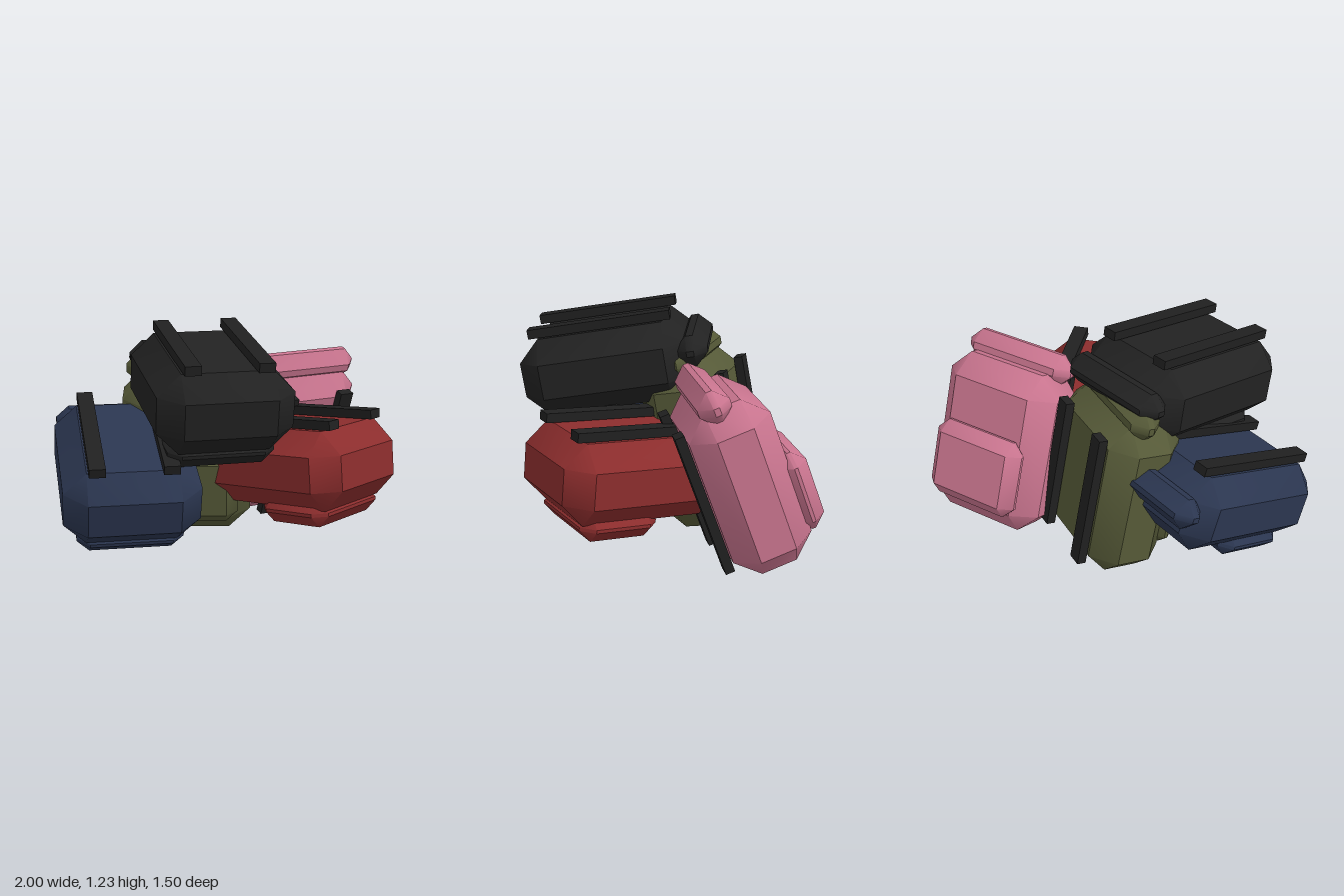
import * as THREE from 'three';
import { ConvexGeometry } from 'three/addons/geometries/ConvexGeometry.js';
import { toCreasedNormals } from 'three/addons/utils/BufferGeometryUtils.js';

const material = (name, color) => {
  const m = new THREE.MeshStandardMaterial({ color });
  m.name = name;
  return m;
};

// Box with every edge cut at 45 degrees: flat panels, softly shaded chamfers
function chamferBox(w, h, d, c) {
  const half = [w / 2, h / 2, d / 2];
  const points = [];
  for (const sx of [-1, 1]) for (const sy of [-1, 1]) for (const sz of [-1, 1]) {
    for (let axis = 0; axis < 3; axis++) {
      const p = half.map((v, i) => (i === axis ? v : v - c));
      points.push(new THREE.Vector3(p[0] * sx, p[1] * sy, p[2] * sz));
    }
  }
  return toCreasedNormals(new ConvexGeometry(points), 0.7);
}

// One backpack shape shared by the whole pile: +y is its top, +z its pocket side
const bodyGeo = chamferBox(0.72, 0.92, 0.43, 0.12);
const pocketGeo = chamferBox(0.57, 0.44, 0.15, 0.066);
const rollGeo = chamferBox(0.68, 0.18, 0.17, 0.07);
const strapGeo = new THREE.BoxGeometry(0.085, 0.78, 0.05);

function part(name, geometry, mat, x, y, z) {
  const mesh = new THREE.Mesh(geometry, mat);
  mesh.name = name;
  mesh.position.set(x, y, z);
  return mesh;
}

function backpack(name, cloth, strapMat) {
  const bag = new THREE.Group();
  bag.name = name;
  bag.add(
    part('body', bodyGeo, cloth, 0, 0, 0),
    part('frontPocket', pocketGeo, cloth, 0, -0.126, 0.236),
    part('topRoll', rollGeo, cloth, 0, 0.478, -0.04)
  );
  for (const side of [-1, 1]) {
    bag.add(part(side > 0 ? 'leftStrap' : 'rightStrap', strapGeo, strapMat, side * 0.19, 0, -0.245));
  }
  return bag;
}

// Turn a bag so its top points along up and its pocket roughly along front
function place(bag, position, up, front) {
  const u = new THREE.Vector3(...up).normalize();
  const x = u.clone().cross(new THREE.Vector3(...front)).normalize();
  const f = x.clone().cross(u);
  bag.quaternion.setFromRotationMatrix(new THREE.Matrix4().makeBasis(x, u, f));
  bag.position.set(...position);
  return bag;
}

export function createModel() {
  const model = new THREE.Group();
  model.name = 'backpackPile';

  const black = material('black cloth', 0x222222);
  const strap = material('strap black', 0x202020);
  const pink = material('pink cloth', 0xc8748e);
  const red = material('red cloth', 0x8c2d2d);
  const blue = material('navy cloth', 0x2b3650);
  const olive = material('olive cloth', 0x565a38);

  const down = [0, -1, 0];
  const pile = [
    // name, cloth, position, top direction, pocket direction
    ['oliveBackpack', olive, [-0.05, 0.46, -0.27], [-0.085, 0.98, 0.17], [-0.44, -0.19, 0.87]],
    ['pinkBackpack', pink, [0.637, 0.47, -0.355], [0.017, 0.94, 0.342], [-0.05, 0.342, -0.94]],
    ['navyBackpack', blue, [-0.55, 0.445, -0.01], [0.276, 0.325, -0.904], down],
    ['redBackpack', red, [0.405, 0.45, 0.22], [-0.359, -0.087, -0.926], down],
    ['blackBackpack', black, [-0.16, 0.894, 0.225], [0.222, 0.165, -0.961], down],
  ];
  for (const [name, cloth, position, up, front] of pile) {
    model.add(place(backpack(name, cloth, strap), position, up, front));
  }
  return model;
}
